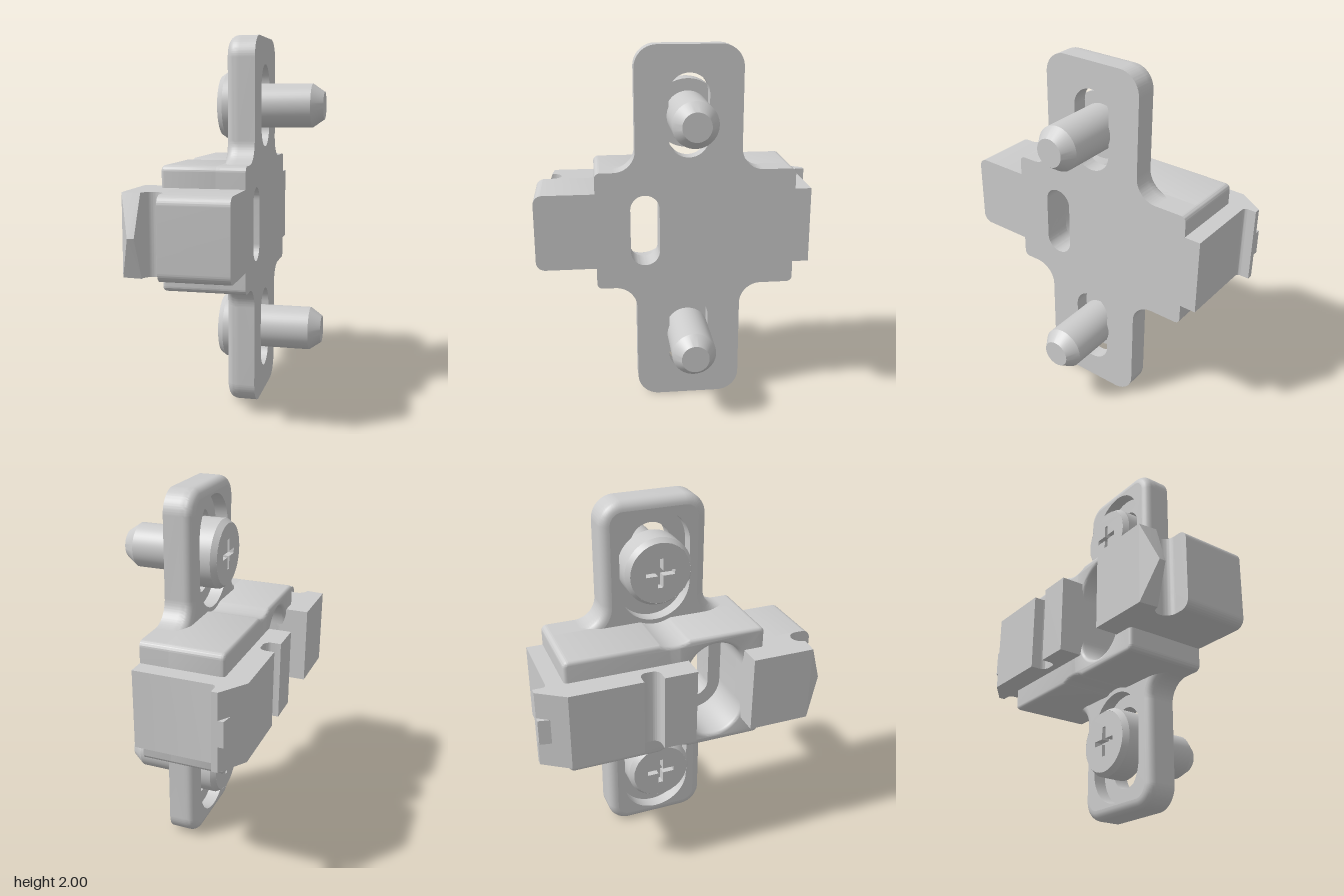
import * as THREE from 'three';
import { toCreasedNormals } from 'three/addons/utils/BufferGeometryUtils.js';
import { ConvexGeometry } from 'three/addons/geometries/ConvexGeometry.js';

const PI = Math.PI;
const material = new THREE.MeshStandardMaterial({ color: 0xcccccc });

function mesh(name, geometry, crease = 0.5) {
  const m = new THREE.Mesh(toCreasedNormals(geometry, crease), material);
  m.name = name;
  return m;
}

// Extrude a (-z, y) shape along x
function alongX(shape, x0, x1, bevel = 0) {
  return new THREE.ExtrudeGeometry(shape, {
    depth: x1 - x0 - 2 * bevel, curveSegments: 16, bevelEnabled: bevel > 0,
    bevelThickness: bevel, bevelSize: bevel, bevelOffset: -bevel, bevelSegments: 4,
  }).translate(0, 0, x0 + bevel).rotateY(PI / 2);
}

// Extrude an (x, -z) shape along y
function alongY(shape, y0, y1) {
  return new THREE.ExtrudeGeometry(shape, { depth: y1 - y0, curveSegments: 16, bevelEnabled: false })
    .rotateX(-PI / 2).translate(0, y0, 0);
}

// Upright stadium-shaped hole
function slot(u, y0, y1, r) {
  const p = new THREE.Path();
  p.absarc(u, y1 - r, r, 0, PI);
  p.absarc(u, y0 + r, r, PI, 2 * PI);
  p.closePath();
  return p;
}

// Wing plate outline with rounded ends and flared roots, shrunk by i
function plateOutline(i) {
  const a = -0.24, b = 0.34, R = 0.12, lo = 0.67 - R, hi = 1.33 + R, r = R - i, f = R + i;
  const s = new THREE.Shape();
  s.absarc(a + R, R, r, PI, 1.5 * PI);
  s.absarc(b - R, R, r, 1.5 * PI, 2 * PI);
  s.absarc(b + R, lo, f, PI, PI / 2, true);
  s.absarc(b + R, hi, f, 1.5 * PI, PI, true);
  s.absarc(b - R, 2 - R, r, 0, PI / 2);
  s.absarc(a + R, 2 - R, r, PI / 2, PI);
  s.absarc(a - R, hi, f, 0, -PI / 2, true);
  s.absarc(a - R, lo, f, PI / 2, 0, true);
  s.closePath();
  return s;
}

// Rounded edge of the plate, lofted through shrinking outlines
function plateRim(b, x0, x1) {
  const rings = [];
  for (let k = 0; k <= 6; k++) {
    const t = (k / 6) * PI / 2;
    rings.push([b * (1 - Math.sin(t)), x0 + b * (1 - Math.cos(t))]);
  }
  rings.push([0, x1]);
  const pos = [], idx = [];
  let n = 0;
  rings.forEach(([inset, x]) => {
    const pts = plateOutline(inset).getPoints(16);
    n = pts.length;
    pts.forEach((p) => pos.push(p.x, p.y, x));
  });
  for (let k = 0; k < rings.length - 1; k++) {
    for (let j = 0; j < n; j++) {
      const a = k * n + j, c = k * n + ((j + 1) % n);
      idx.push(a, c, c + n, a, c + n, a + n);
    }
  }
  const g = new THREE.BufferGeometry();
  g.setAttribute('position', new THREE.Float32BufferAttribute(pos, 3));
  g.setIndex(idx);
  return g.rotateY(PI / 2);
}

// Rounded rectangle, optionally dipped at top and bottom to clear the screw heads
function bodyOutline(u0, u1, y0, y1, r, dip = 0) {
  const s = new THREE.Shape();
  s.absarc(u0 + r, y0 + r, r, PI, 1.5 * PI);
  if (dip) {
    s.lineTo(-0.035, y0);
    s.quadraticCurveTo(0.05, y0 + 2 * dip, 0.135, y0);
  }
  s.absarc(u1 - r, y0 + r, r, 1.5 * PI, 2 * PI);
  s.absarc(u1 - r, y1 - r, r, 0, PI / 2);
  if (dip) {
    s.lineTo(0.135, y1);
    s.quadraticCurveTo(0.05, y1 - 2 * dip, -0.035, y1);
  }
  s.absarc(u0 + r, y1 - r, r, PI / 2, PI);
  s.closePath();
  return s;
}

function makeScrew() {
  const g = new THREE.Group();
  const profile = [[0, -0.075], [0.16, -0.075], [0.165, -0.12], [0.185, -0.09], [0.185, 0.03],
    [0.12, 0.03], [0.12, 0.38], [0.075, 0.445], [0, 0.445]].map(([r, x]) => new THREE.Vector2(r, x));
  g.add(mesh('screwBody', new THREE.LatheGeometry(profile, 48).rotateZ(-PI / 2)));
  // Face of the head with the cross-shaped recess
  const face = new THREE.Shape();
  face.absarc(0, 0, 0.165, 0, 2 * PI);
  const w = 0.014, l = 0.08;
  face.holes.push(new THREE.Path([[w, w], [w, l], [-w, l], [-w, w], [-l, w], [-l, -w],
    [-w, -w], [-w, -l], [w, -l], [w, -w], [l, -w], [l, w]].map(([x, y]) => new THREE.Vector2(x, y))));
  g.add(mesh('screwHeadFace', alongX(face, -0.12, -0.07)));
  return g;
}

export function createModel() {
  const model = new THREE.Group();
  const X = 0.115, Y0 = 0.79, Y1 = 1.215, B = 0.05;

  // Wing plate: narrow slots at the flat side, wider recesses at the head side
  const oval = () => slot(-0.19, 0.8, 1.2, 0.08);
  const base = plateOutline(0), top = plateOutline(B);
  base.holes.push(oval(), slot(0.05, 0.145, 0.595, 0.11), slot(0.05, 1.405, 1.855, 0.11));
  top.holes.push(oval(), slot(0.05, 0.06, 0.665, 0.195), slot(0.05, 1.335, 1.94, 0.195));
  model.add(mesh('wingPlateBase', alongX(base, 0.03, X)));
  model.add(mesh('wingPlateFace', alongX(top, -0.04, 0.03)));
  model.add(mesh('wingPlateRim', plateRim(B, -0.04, 0.03)));

  // Central body with a counterbored oval hole
  const floor = bodyOutline(-0.46, 0.64, 0.67, 1.33, 0.03);
  floor.holes.push(oval());
  model.add(mesh('bodyBase', alongX(floor, -0.04, X)));
  const block = bodyOutline(-0.46, 0.64, 0.67, 1.33, 0.03, 0.02);
  block.holes.push(slot(-0.185, 0.72, 1.28, 0.16));
  model.add(mesh('body', alongX(block, -0.33, 0, 0.02)));

  // Rear rail with side notch and hooked end
  const rear = new THREE.Shape();
  rear.moveTo(X, -0.02);
  rear.lineTo(X, 0.73);
  rear.lineTo(-0.3, 0.73);
  rear.quadraticCurveTo(-0.325, 0.73, -0.325, 0.755);
  rear.lineTo(-0.325, 0.8);
  rear.lineTo(-0.358, 0.8);
  rear.lineTo(-0.455, 0.655);
  rear.lineTo(-0.455, 0.265);
  rear.lineTo(-0.41, 0.265);
  rear.absarc(-0.41, 0.225, 0.04, PI / 2, 0, true);
  rear.absarc(-0.41, 0.195, 0.04, 0, -PI / 2, true);
  rear.lineTo(-0.455, 0.155);
  rear.lineTo(-0.455, -0.025);
  rear.lineTo(X - 0.2, -0.025);
  rear.closePath();
  model.add(mesh('rearRail', alongY(rear, Y0, Y1)));
  const tab = new THREE.Shape([[-0.35, 0.8], [-0.388, 0.8], [-0.4, 0.735], [-0.35, 0.735]]
    .map(([x, v]) => new THREE.Vector2(x, v)));
  model.add(mesh('hookTab', alongY(tab, 0.93, 1.07)));

  // Front rail: rounded nose plus an outer arm with a relief notch
  model.add(mesh('frontNose', alongX(bodyOutline(-0.79, -0.37, Y0, Y1, 0.05), -0.245, X)));
  const arm = new THREE.Shape();
  arm.moveTo(-0.455, -0.345);
  arm.lineTo(-0.455, -0.69);
  arm.lineTo(-0.355, -0.7);
  arm.absarc(-0.3, -0.7, 0.055, PI, 0, true);
  arm.lineTo(-0.24, -0.7);
  arm.lineTo(-0.24, -0.345);
  arm.closePath();
  model.add(mesh('frontArm', alongY(arm, Y0, Y1)));
  // Wedge-shaped latch tip
  const tip = [[-0.4, 1, 0.775], [-0.365, 1, 0.775]];
  for (const y of [Y0, Y1]) tip.push([-0.455, y, 0.69], [-0.355, y, 0.7], [-0.455, y, 0.66], [-0.355, y, 0.66]);
  model.add(mesh('latchTip', new ConvexGeometry(tip.map((p) => new THREE.Vector3(...p))), 0.1));

  // Two screws
  [['lowerScrew', 0.375], ['upperScrew', 1.63]].forEach(([name, y]) => {
    const s = makeScrew();
    s.name = name;
    s.position.set(0, y, -0.05);
    model.add(s);
  });
  return model;
}
